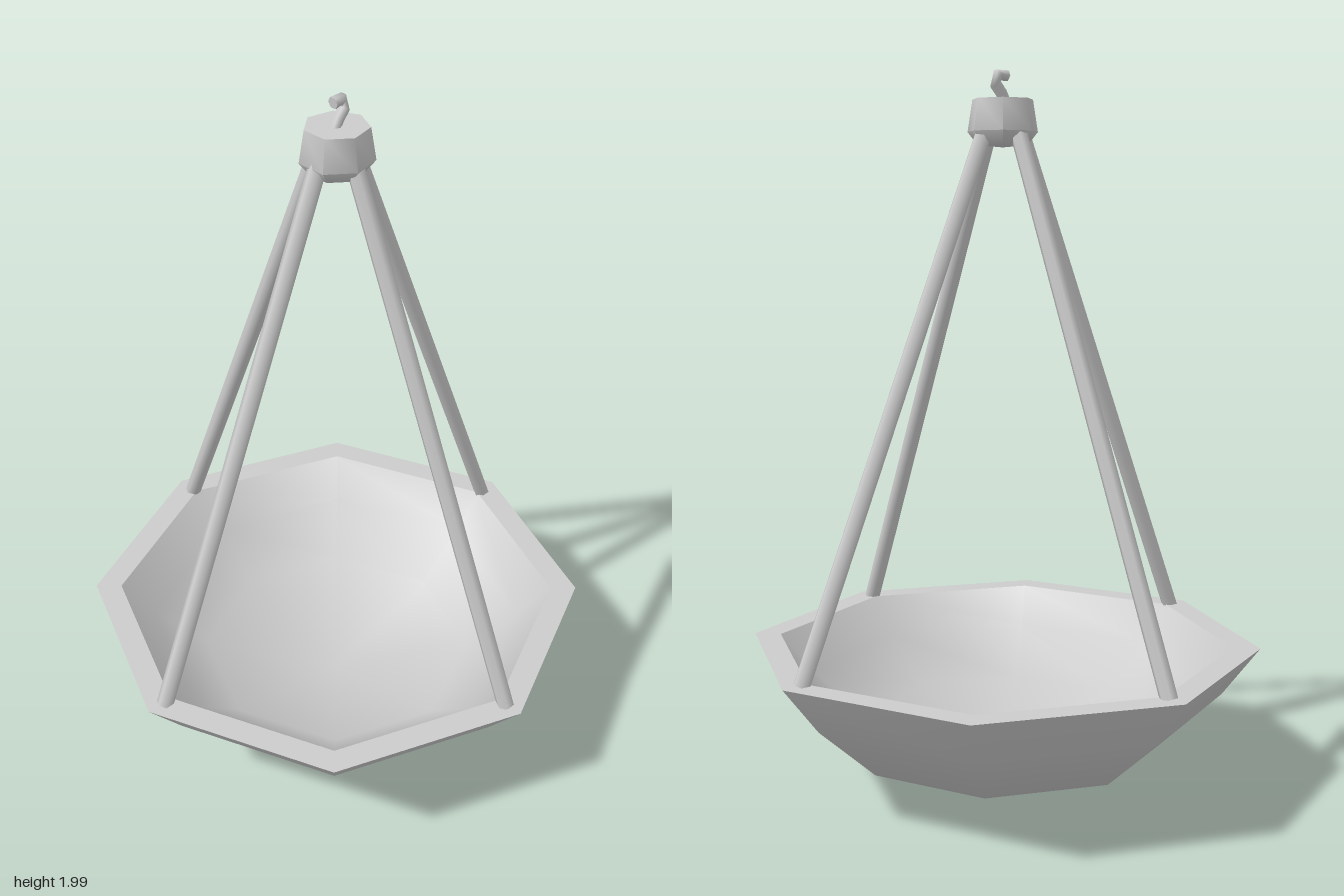
import * as THREE from 'three';
import { mergeVertices, toCreasedNormals } from 'three/addons/utils/BufferGeometryUtils.js';

const material = new THREE.MeshStandardMaterial({ color: 0xcccccc });

function addMesh(parent, name, geometry) {
  const mesh = new THREE.Mesh(geometry, material);
  mesh.name = name;
  parent.add(mesh);
  return mesh;
}

// Surface of revolution from [radius, height] pairs, ordered bottom to top on the outside
const lathe = (points, sides, phase = 0) =>
  new THREE.LatheGeometry(points.map(([r, y]) => new THREE.Vector2(r, y)), sides, phase);

// Weld the seam and pole, then average the normals over the whole surface
function smooth(geometry) {
  geometry.deleteAttribute('uv');
  geometry.deleteAttribute('normal');
  const welded = mergeVertices(geometry, 1e-4);
  welded.computeVertexNormals();
  return welded;
}

// Straight bar between two points
function addBar(parent, name, from, to, radius, sides) {
  const direction = to.clone().sub(from);
  const bar = addMesh(parent, name, new THREE.CylinderGeometry(radius, radius, direction.length(), sides));
  bar.position.copy(from).add(to).multiplyScalar(0.5);
  bar.quaternion.setFromUnitVectors(new THREE.Vector3(0, 1, 0), direction.normalize());
}

export function createModel() {
  const model = new THREE.Group();
  model.name = 'hangingBowl';

  // Eight-sided bowl: outer shell, flat rim, inner shell
  const rimY = 0.415;
  const outer = [[0, 0.002], [0.44, 0.122], [0.615, 0.28], [0.72, rimY]];
  const inner = [[0.645, rimY], [0.55, 0.308], [0.4, 0.182], [0, 0.075]];
  const bowl = new THREE.Group();
  bowl.name = 'bowl';
  model.add(bowl);
  addMesh(bowl, 'bowlOuter', smooth(lathe(outer, 8)));
  addMesh(bowl, 'bowlRim', lathe([outer[3], inner[0]], 8));
  addMesh(bowl, 'bowlInner', smooth(lathe(inner, 8)));

  // Four rods from the rim up into the cap
  const rods = new THREE.Group();
  rods.name = 'rods';
  rods.position.set(0.004, 0, 0.002);
  model.add(rods);
  const up = new THREE.Vector3(0, 1, 0);
  for (let i = 0; i < 4; i++) {
    const angle = (i * Math.PI) / 2;
    const foot = new THREE.Vector3(0.664, 0.41, 0).applyAxisAngle(up, angle);
    const head = new THREE.Vector3(0.052, 1.86, 0).applyAxisAngle(up, angle);
    addBar(rods, 'rod' + (i + 1), foot, head, 0.024, 6);
  }

  // Seven-sided cap, widening downward, with a domed underside and flat top
  const capProfile = [[0, 1.79], [0.07, 1.797], [0.098, 1.832], [0.084, 1.918], [0, 1.918]];
  const cap = addMesh(model, 'cap', toCreasedNormals(lathe(capProfile, 7, Math.PI), 1.1));
  cap.position.x = 0.003;

  // Small hook on top, opening to the front
  const path = new THREE.CatmullRomCurve3([
    [0.01, 1.908], [-0.006, 1.937], [-0.026, 1.962], [-0.014, 1.983], [0.014, 1.98],
  ].map(([z, y]) => new THREE.Vector3(0, y, z)));
  const hook = new THREE.Group();
  hook.name = 'hook';
  hook.position.x = 0.004;
  model.add(hook);
  addMesh(hook, 'hookBar', new THREE.TubeGeometry(path, 4, 0.016, 6));
  const tip = addMesh(hook, 'hookTip', new THREE.CircleGeometry(0.016, 6));
  tip.position.copy(path.getPoint(1));
  tip.quaternion.setFromUnitVectors(new THREE.Vector3(0, 0, 1), path.getTangent(1));

  return model;
}
